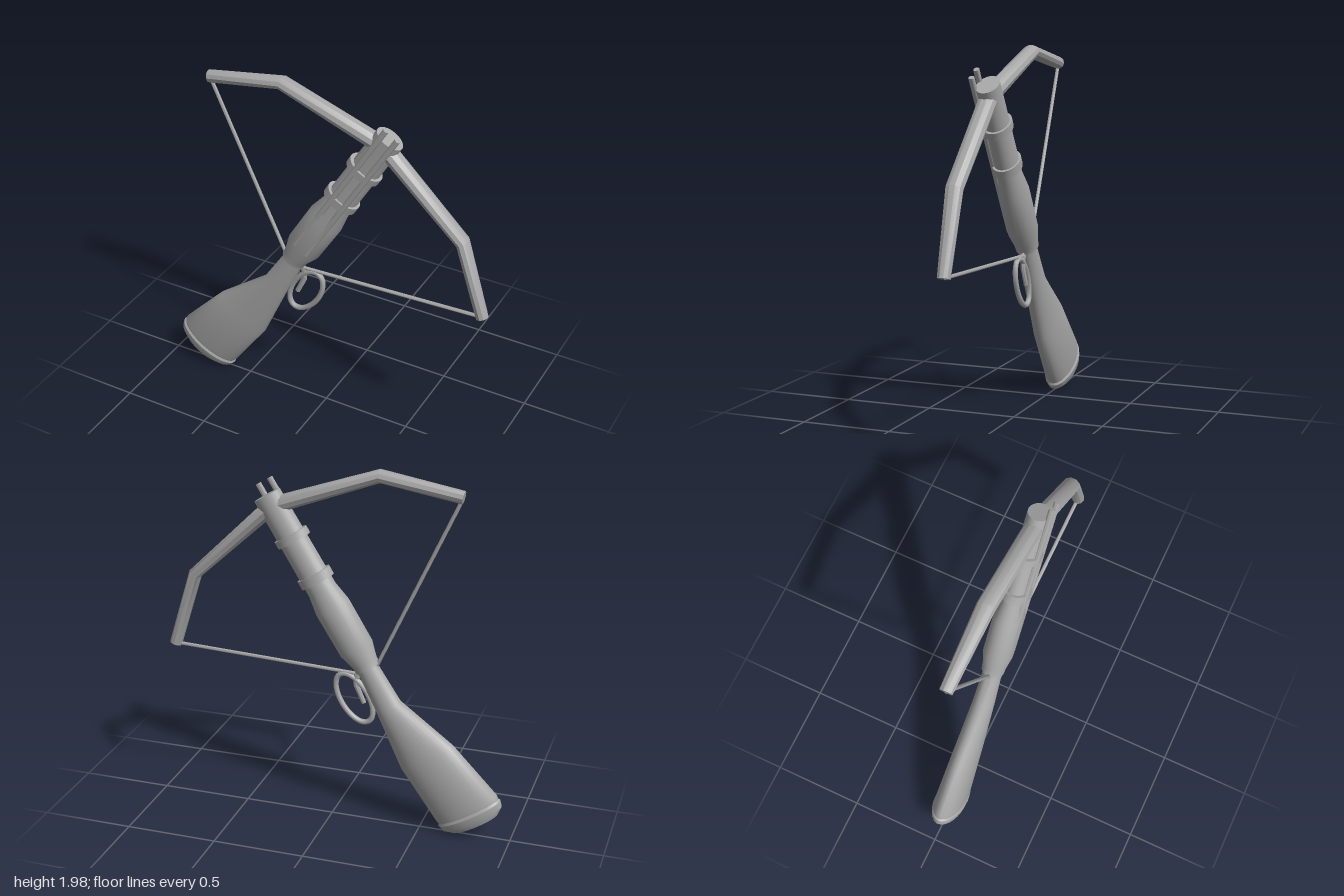
import * as THREE from 'three';
import { toCreasedNormals } from 'three/addons/utils/BufferGeometryUtils.js';

// Elliptical rings joined along a path: each section is [x, y, rx, rz], listed top to bottom.
// With follow, every ring is turned square to the path.
function loft(sections, sides, crease = 0.6, follow = false) {
  const n = sections.length;
  const tilts = sections.map((s, i) => {
    if (!follow) return 0;
    const dir = (a, b) => new THREE.Vector2(b[0] - a[0], b[1] - a[1]).normalize();
    const d = new THREE.Vector2();
    if (i > 0) d.add(dir(sections[i - 1], s));
    if (i < n - 1) d.add(dir(s, sections[i + 1]));
    return Math.atan2(d.y, d.x) + Math.PI / 2;
  });
  const geo = new THREE.CylinderGeometry(1, 1, 1, sides, n - 1);
  const pos = geo.attributes.position;
  for (let i = 0; i < pos.count; i++) {
    const k = Math.round((0.5 - pos.getY(i)) * (n - 1));
    const [x, y, rx, rz] = sections[k];
    const w = pos.getX(i) * rx;
    pos.setXYZ(i, x + w * Math.cos(tilts[k]), y + w * Math.sin(tilts[k]), pos.getZ(i) * rz);
  }
  return toCreasedNormals(geo, crease);
}

export function createModel() {
  const grey = new THREE.MeshStandardMaterial({ color: 0xa8a8a8 });
  grey.name = 'grey';

  // Everything is built upright along the barrel, then leaned over
  const weapon = new THREE.Group();
  weapon.name = 'crossbow';
  weapon.position.set(0.35, 1.79, 0);
  weapon.rotation.z = THREE.MathUtils.degToRad(-31.5);
  const add = (name, geo) => {
    const mesh = new THREE.Mesh(geo, grey);
    mesh.name = name;
    weapon.add(mesh);
    return mesh;
  };

  // Barrel running into the thicker receiver
  add('barrel', loft([
    [-0.003, 0.012, 0.078, 0.06],
    [-0.004, -0.56, 0.082, 0.064],
    [-0.005, -0.665, 0.1, 0.079],
    [-0.005, -0.917, 0.098, 0.08],
    [-0.006, -1.005, 0.072, 0.064],
    [-0.006, -1.04, 0.07, 0.062],
  ], 24));

  // Raised bands around the barrel
  for (const [y, h] of [[-0.486, 0.05], [-0.244, 0.042]]) {
    add('barrelBand', loft([
      [-0.006, y + h / 2, 0.098, 0.074],
      [-0.006, y - h / 2, 0.098, 0.074],
    ], 24));
  }

  // Twin rails along the front of the barrel
  for (const x of [-0.037, 0.037]) {
    const rail = add('rail', toCreasedNormals(new THREE.CylinderGeometry(0.016, 0.016, 0.98, 10), 0.7));
    rail.position.set(x, -0.41, 0.059);
  }

  // Shoulder stock and butt plate
  add('stock', loft([
    [-0.004, -1.02, 0.058, 0.05],
    [0.004, -1.28, 0.074, 0.058],
    [-0.043, -1.615, 0.164, 0.07],
    [-0.094, -1.965, 0.19, 0.084],
    [-0.094, -1.985, 0.185, 0.08],
  ], 32));
  add('buttPlate', loft([
    [-0.094, -1.975, 0.18, 0.078],
    [-0.094, -1.995, 0.193, 0.088],
    [-0.094, -2.03, 0.183, 0.083],
    [-0.095, -2.062, 0.14, 0.064],
  ], 32));

  // Bow from tip to tip
  add('bow', loft([
    [-0.93, -0.462, 0.034, 0.034],
    [-0.6, -0.175, 0.035, 0.048],
    [0, -0.05, 0.046, 0.05],
    [0.6, -0.175, 0.035, 0.048],
    [0.93, -0.462, 0.034, 0.034],
  ], 10, 0.5, true));

  // Bowstring halves
  for (const s of [-1, 1]) {
    add('bowstring', loft([
      [s * 0.915, -0.47, 0.01, 0.01],
      [s * 0.02, -1.075, 0.01, 0.01],
    ], 8, 0.9, true));
  }

  // Trigger guard ring
  const ring = [];
  for (let i = 0; i < 24; i++) {
    const a = (i / 24) * Math.PI * 2;
    ring.push(new THREE.Vector3(0.153 + 0.079 * Math.cos(a), -1.158 + 0.15 * Math.sin(a), 0));
  }
  add('triggerGuard', new THREE.TubeGeometry(new THREE.CatmullRomCurve3(ring, true), 48, 0.015, 8, true));

  // Curved trigger
  add('trigger', loft([
    [0.045, -1.03, 0.018, 0.013],
    [0.085, -1.065, 0.018, 0.013],
    [0.105, -1.1, 0.016, 0.013],
    [0.119, -1.205, 0.014, 0.012],
  ], 8, 0.6, true));

  const model = new THREE.Group();
  model.name = 'model';
  model.add(weapon);
  return model;
}
